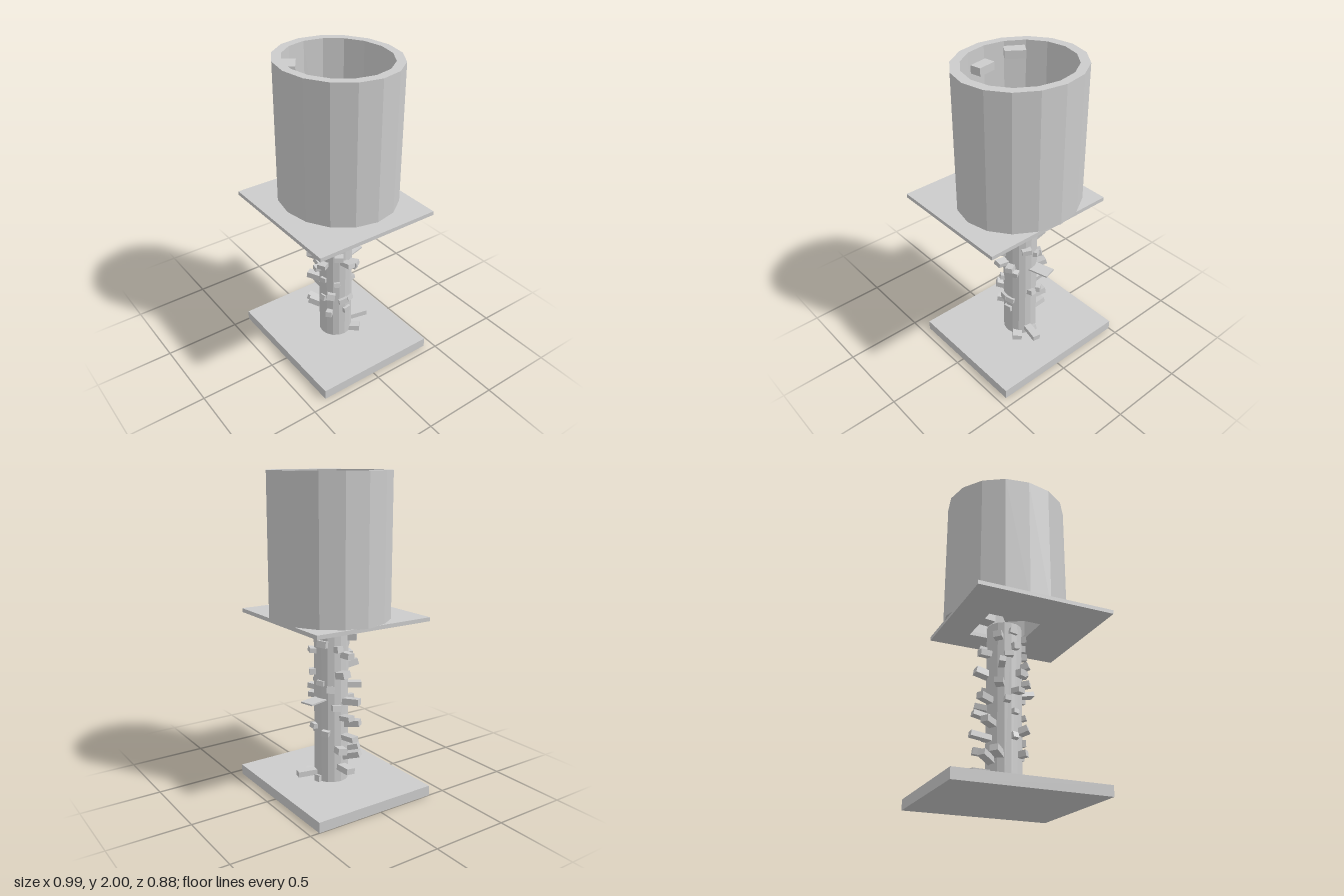
import * as THREE from 'three';

const material = new THREE.MeshStandardMaterial({ color: 0xcccccc, flatShading: true });

function add(parent, name, geometry, x = 0, y = 0, z = 0) {
  const mesh = new THREE.Mesh(geometry, material);
  mesh.name = name;
  mesh.position.set(x, y, z);
  parent.add(mesh);
  return mesh;
}

// Small seeded generator, returns -1..1
function makeRandom(seed) {
  return () => {
    seed = (seed * 16807) % 2147483647;
    return (seed / 2147483647) * 2 - 1;
  };
}

// Rectangle in plan, given as x and z ranges
function rectPoints(x0, x1, z0, z1) {
  return [[x0, -z1], [x1, -z1], [x1, -z0], [x0, -z0]].map(([x, y]) => new THREE.Vector2(x, y));
}

// Sixteen-sided oval in plan
function ovalPoints(rx, rz) {
  return Array.from({ length: 16 }, (_, i) => {
    const a = (i / 16) * Math.PI * 2;
    return new THREE.Vector2(rx * Math.cos(a), rz * Math.sin(a));
  });
}

// Upright slab with a hole through it
function slab(outer, hole, height) {
  const shape = new THREE.Shape(outer);
  shape.holes.push(new THREE.Path(hole));
  const geometry = new THREE.ExtrudeGeometry(shape, { depth: height, bevelEnabled: false });
  return geometry.rotateX(-Math.PI / 2);
}

// Brick pointing outward from a vertical axis; angle 0 is +x, 90 is +z
function brick(parent, name, axis, degrees, y, r0, r1, width, height, pitch = 0, roll = 0, twist = 0) {
  const a = (degrees * Math.PI) / 180;
  const r = (r0 + r1) / 2;
  const mesh = add(parent, name, new THREE.BoxGeometry(r1 - r0, height, width),
    axis[0] + r * Math.cos(a), y, axis[1] + r * Math.sin(a));
  mesh.rotation.set(roll, -a + twist, pitch, 'YXZ');
}

// Column bricks: [angle, height, reach beyond the column]
const BRICKS_LEFT = [
  [195, 0.94, 0.05], [170, 0.9, 0.07], [185, 0.78, 0.08], [160, 0.6, 0.1], [200, 0.57, 0.07],
  [175, 0.5, 0.1], [150, 0.45, 0.09], [170, 0.37, 0.12], [190, 0.29, 0.08], [155, 0.24, 0.1],
  [178, 0.165, 0.1], [215, 0.68, 0.03],
];
const BRICKS_RIGHT = [
  [-10, 0.99, 0.035], [25, 1.02, 0.03], [15, 0.91, 0.03], [40, 0.82, 0.05], [5, 0.8, 0.04],
  [25, 0.72, 0.05], [5, 0.67, 0.08], [-20, 0.65, 0.06], [-35, 0.61, 0.04], [30, 0.5, 0.025],
  [-15, 0.36, 0.02], [10, 0.36, 0.02], [-5, 0.28, 0.015], [-40, 0.08, 0.06],
];
const BRICKS_FRONT = [
  [130, 1.0, 0.05], [85, 1.04, 0.02], [80, 0.94, 0.035], [100, 0.88, 0.03], [120, 0.82, 0.06],
  [60, 0.77, 0.04], [125, 0.69, 0.08], [75, 0.65, 0.05], [105, 0.59, 0.04], [80, 0.52, 0.02],
  [50, 0.41, 0.05], [80, 0.37, 0.02], [55, 0.27, 0.045], [130, 0.27, 0.07],
];
const BRICKS_BACK = [
  [-75, 0.92, 0.035], [-120, 0.97, 0.03], [-70, 0.78, 0.03], [-110, 0.72, 0.02],
  [-85, 0.43, 0.035], [-130, 0.4, 0.03], [-100, 0.08, 0.02],
];

export function createModel() {
  const model = new THREE.Group();
  model.name = 'tower';

  // Base plate
  add(model, 'basePlate', new THREE.BoxGeometry(0.95, 0.065, 0.825), -0.025, 0.0325, -0.0275);

  // Column
  const axis = [-0.022, -0.035];
  const radius = 0.109;
  add(model, 'column', new THREE.CylinderGeometry(radius, radius, 1.04, 16), axis[0], 0.58, axis[1]);

  // Rough bricks sticking out of the column
  const bricks = new THREE.Group();
  bricks.name = 'columnBricks';
  model.add(bricks);
  const random = makeRandom(4711);
  for (const list of [BRICKS_LEFT, BRICKS_RIGHT, BRICKS_FRONT, BRICKS_BACK]) {
    for (const [angle, y, reach] of list) {
      brick(bricks, 'columnBrick', axis, angle, y, radius - 0.04, radius + reach,
        0.05 + 0.012 * random(), 0.036 + 0.008 * random(),
        0.15 + 0.2 * random(), 0.15 * random(), 0.2 * random());
    }
  }
  // Two long pieces at the back
  brick(bricks, 'longBrick', axis, -78, 0.115, 0.05, 0.23, 0.05, 0.035);
  brick(bricks, 'longSlab', axis, -105, 0.615, 0.05, 0.23, 0.09, 0.01);

  // Upper plate with a square opening
  add(model, 'upperPlate', slab(rectPoints(-0.395, 0.49, -0.38, 0.44),
    rectPoints(-0.195, 0.15, -0.19, 0.13), 0.025), 0, 1.1, 0);

  // Open drum
  const drum = [-0.01, -0.04];
  add(model, 'drumWall', slab(ovalPoints(0.4, 0.365), ovalPoints(0.34, 0.312), 0.88),
    drum[0], 1.12, drum[1]);

  // Steps winding down the inside of the drum
  const steps = new THREE.Group();
  steps.name = 'drumSteps';
  model.add(steps);
  for (let i = 0; i < 16; i++) {
    const inner = i < 8 ? 0.235 : 0.215;
    brick(steps, 'drumStep', drum, 125 - i * 45, 1.945 - i * 0.05, inner, 0.33, 0.125, 0.05);
  }

  return model;
}
